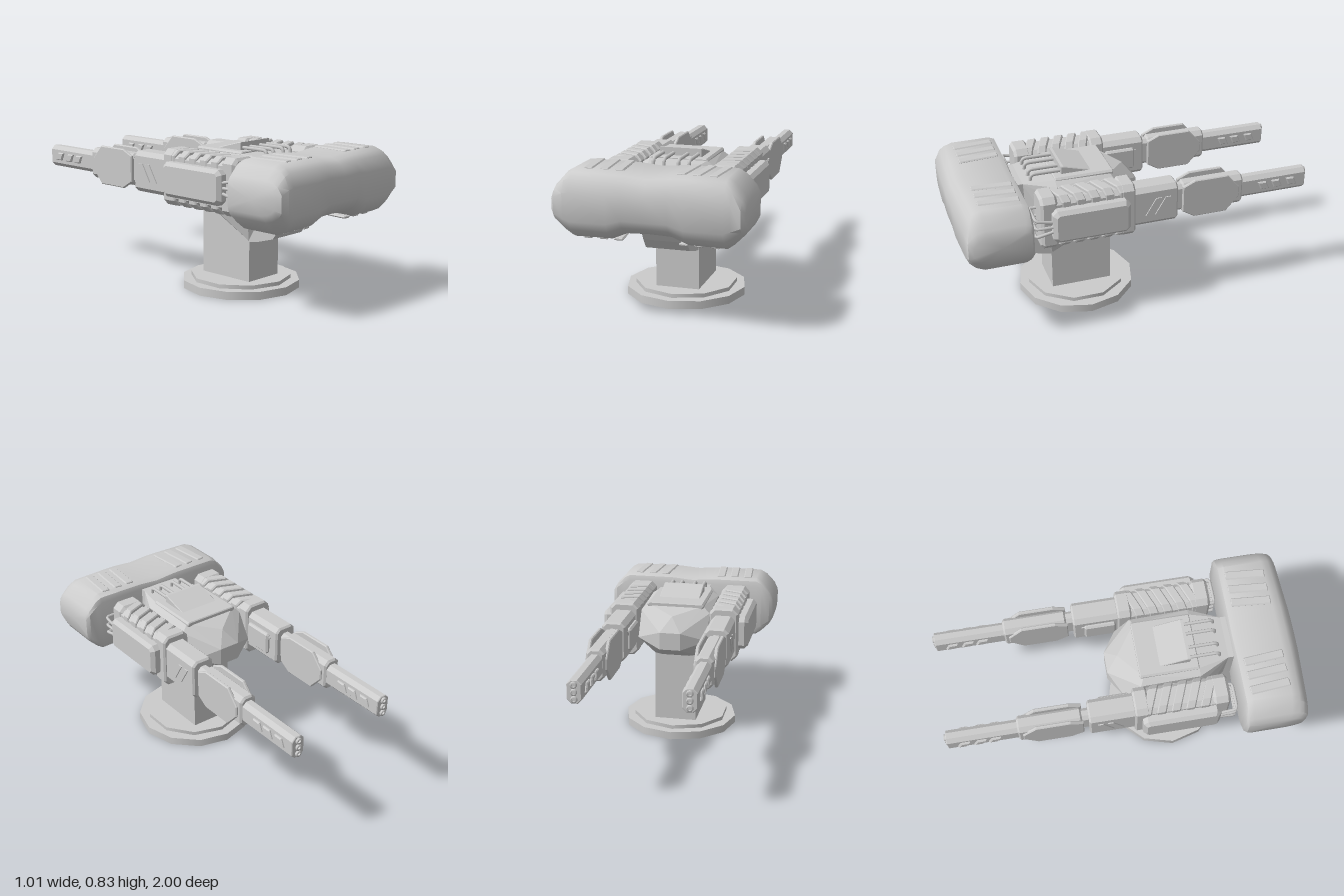
import * as THREE from 'three';
import { toCreasedNormals } from 'three/addons/utils/BufferGeometryUtils.js';
import { ConvexGeometry } from 'three/addons/geometries/ConvexGeometry.js';

const mat = new THREE.MeshStandardMaterial({ color: 0xcccccc });

function add(parent, name, geo, x = 0, y = 0, z = 0) {
  const m = new THREE.Mesh(geo, mat);
  m.name = name;
  m.position.set(x, y, z);
  parent.add(m);
  return m;
}

// Chamfered bar running along z, from z0 to z1, with bevelled ends
function bar(w, h, c, z0, z1, b = 0.01) {
  const x = w / 2, y = h / 2;
  const s = new THREE.Shape([
    [x, c - y], [x, y - c], [x - c, y], [c - x, y], [-x, y - c], [-x, c - y], [c - x, -y], [x - c, -y],
  ].map(p => new THREE.Vector2(...p)));
  const g = new THREE.ExtrudeGeometry(s, {
    depth: z1 - z0 - 2 * b, bevelEnabled: b > 0, bevelThickness: b, bevelSize: b, bevelOffset: -b, bevelSegments: 1,
  });
  return g.translate(0, 0, z0 + b);
}

// Outline given as [z, y], extruded to a width along x and centred
function sidePlate(points, width, b = 0) {
  const s = new THREE.Shape(points.map(p => new THREE.Vector2(...p)));
  const g = new THREE.ExtrudeGeometry(s, {
    depth: width - 2 * b, bevelEnabled: b > 0, bevelThickness: b, bevelSize: b, bevelOffset: -b, bevelSegments: 1,
  });
  return g.translate(0, 0, b - width / 2).rotateY(-Math.PI / 2);
}

function pipe(points, r) {
  const path = new THREE.CurvePath();
  const v = points.map(p => new THREE.Vector3(...p));
  for (let i = 1; i < v.length; i++) path.add(new THREE.LineCurve3(v[i - 1], v[i]));
  return new THREE.TubeGeometry(new THREE.CatmullRomCurve3(v, false, 'catmullrom', 0.15), 20, r, 6);
}

// Rounded block lofted along x; stations are [x, bottom, top, back, front]
function loftBlock(stations) {
  const prof = [[1, .28], [1, .7], [.92, .89], [.84, .96], [.72, 1], [.12, 1], [.03, .96], [0, .88],
    [0, .12], [.03, .04], [.1, 0], [.72, 0], [.85, .06], [.94, .15]];
  const n = prof.length, pos = [], idx = [];
  for (const [x, yb, yt, zb, zf] of stations)
    for (const [u, v] of prof) pos.push(x, yb + v * (yt - yb), zb + u * (zf - zb));
  const last = stations.length - 1;
  for (const k of [0, last]) {
    const [x, yb, yt, zb, zf] = stations[k];
    pos.push(x, (yb + yt) / 2, (zb + zf) / 2);
  }
  for (let j = 0; j < n; j++) {
    const q = (j + 1) % n;
    for (let i = 0; i < last; i++) {
      const a = i * n + j, b = a + n, c = i * n + q, d = c + n;
      idx.push(a, b, c, b, d, c);
    }
    const centre = (last + 1) * n;
    idx.push(centre, j, q, centre + 1, last * n + q, last * n + j);
  }
  const g = new THREE.BufferGeometry();
  g.setAttribute('position', new THREE.Float32BufferAttribute(pos, 3));
  g.setIndex(idx);
  return toCreasedNormals(g, 0.65);
}

function createGun(s) {
  const gun = new THREE.Group();
  gun.name = s > 0 ? 'leftGun' : 'rightGun';
  gun.position.set(s * 0.29, 0.635, 0);

  // Housing: core, end collars and slanted cooling ribs
  add(gun, 'housingCore', bar(0.155, 0.27, 0.025, 0.07, 0.54));
  add(gun, 'housingRearCollar', bar(0.165, 0.31, 0.03, 0.04, 0.12));
  add(gun, 'housingFrontCollar', bar(0.165, 0.31, 0.03, 0.47, 0.565, 0.015));
  for (let i = 0; i < 5; i++) {
    const g = bar(0.163, 0.308, 0.03, -0.026, 0.026, 0.006);
    const p = g.attributes.position;
    for (let k = 0; k < p.count; k++) p.setZ(k, p.getZ(k) - 0.4 * s * p.getX(k));
    g.computeVertexNormals();
    add(gun, 'coolingRib', g, 0, 0, 0.135 + i * 0.08);
  }

  // Outer pod
  const pod = [[.08, -.07], [.105, -.095], [.485, -.095], [.51, -.07], [.51, .07], [.485, .095], [.105, .095], [.08, .07]];
  add(gun, 'sidePod', sidePlate(pod, 0.09, 0.02), s * 0.09, 0, 0);

  // Cables looping from the housing to the pod
  for (const k of [-1, 0, 1])
    add(gun, 'cable', pipe([[-s * .04, k * .05, .55], [-s * .04, k * .05, .6], [s * .095, k * .05, .6],
      [s * .105, k * .045, .585], [s * .105, k * .025, .49]], 0.009));

  // Mount to the hull
  add(gun, 'mount', new THREE.CylinderGeometry(0.08, 0.08, 0.08, 12).rotateZ(Math.PI / 2), -s * 0.09, 0, 0.28);

  // Sleeve with slanted side ridges
  add(gun, 'sleeve', bar(0.135, 0.23, 0.025, -0.21, 0.05));
  add(gun, 'innerPad', bar(0.03, 0.13, 0.01, -0.15, 0.03), -s * 0.072, 0, 0);
  for (const side of [-1, 1]) for (const z of [-0.12, -0.065]) {
    const ridge = [[z - .045, .05], [z - .015, .05], [z + .045, -.05], [z + .015, -.05]].reverse();
    add(gun, 'sleeveRidge', sidePlate(ridge, 0.012), side * 0.068, 0, 0);
  }

  // Neck, barrel shroud and octagonal armour plates
  add(gun, 'neck', bar(0.07, 0.16, 0.02, -0.27, -0.19, 0));
  add(gun, 'shroud', bar(0.1, 0.178, 0.025, -0.6, -0.245));
  const plate = [[-.575, -.03], [-.5, -.113], [-.31, -.113], [-.24, -.07], [-.24, .08], [-.31, .112], [-.5, .112], [-.575, .03]];
  for (const side of [-1, 1])
    add(gun, 'armourPlate', sidePlate(plate, 0.02, 0.005), side * 0.05, 0, 0);

  // Barrel with slanted vents and three bores
  add(gun, 'barrel', bar(0.078, 0.125, 0.022, -0.99, -0.59, 0.004));
  for (const side of [-1, 1]) for (const z of [-0.73, -0.81, -0.9]) {
    const vent = [[z - .035, -.02], [z + .015, -.02], [z + .035, .025], [z - .015, .025]];
    add(gun, 'barrelVent', sidePlate(vent, 0.024, 0.006), side * 0.039, 0, 0);
  }
  const ring = [[.01, -.02], [.018, -.02], [.018, .02], [.01, .02], [.01, -.02]].map(p => new THREE.Vector2(...p));
  for (const y of [-0.038, 0, 0.038])
    add(gun, 'bore', new THREE.LatheGeometry(ring, 10).rotateX(Math.PI / 2), 0, y, -0.98);
  return gun;
}

export function createModel() {
  const model = new THREE.Group();
  model.name = 'turret';

  // Round base and pillar
  const disc = (r, h, n) => new THREE.CylinderGeometry(r, r, h, n);
  add(model, 'baseDisc', disc(0.335, 0.045, 12), 0, 0.0225, 0.285);
  add(model, 'baseStep', disc(0.283, 0.024, 10), 0, 0.055, 0.285);
  add(model, 'pillar', new THREE.BoxGeometry(0.244, 0.44, 0.345), 0, 0.285, 0.2825);

  // Faceted hull
  const half = [[.122, .3, .45], [.122, .48, .11], [.2, .58, .5], [.12, .55, .59], [.2, .7, .46], [.12, .765, .6],
    [.2, .755, .43], [.16, .78, .43], [.16, .775, .12], [.2, .74, .1], [.2, .6, .015], [.06, .56, -.065],
    [.06, .66, -.065], [0, .74, 0]];
  const pts = half.flatMap(([x, y, z]) => [new THREE.Vector3(x, y, z), new THREE.Vector3(-x, y, z)]);
  add(model, 'hull', new ConvexGeometry(pts));
  const neck = [[.44, .29], [.52, .305], [.62, .335], [.66, .39], [.7, .46], [.7, .765], [.44, .765]];
  add(model, 'hullNeck', sidePlate(neck, 0.242));

  // Roof hatch and the pipes leading forward from it
  add(model, 'roofPanel', bar(0.33, 0.03, 0.01, 0.1, 0.43, 0.005), 0, 0.775, 0);
  add(model, 'roofHatch', sidePlate([[.1, .76], [.385, .76], [.385, .833], [.37, .833], [.2, .785]], 0.24, 0.004));
  for (const x of [-0.098, -0.04, 0.04, 0.098])
    add(model, 'roofPipe', pipe([[x, .803, .37], [x, .803, .53], [x, .79, .55], [x, .74, .555]], 0.01));

  // Counterweight block
  const side = [[.12, .49, .808, .63, .997], [.2, .455, .81, .63, .995], [.4, .45, .81, .63, .985],
    [.435, .475, .79, .63, .983], [.485, .525, .735, .632, .978], [.505, .56, .7, .645, .95]];
  const mirrored = side.map(([x, ...r]) => [-x, ...r]).reverse();
  add(model, 'counterweight', loftBlock([...mirrored, [0, .495, .797, .63, 1], ...side]));
  for (const s of [-1, 1]) for (const x of [0.17, 0.25, 0.335]) {
    for (const [y, dx] of [[0.809, 0], [0.452, 0.01]]) {
      const slat = add(model, 'slat', bar(0.05, 0.014, 0.006, -0.11, 0.11, 0.004), s * (x + dx), y, 0.78);
      slat.rotation.y = -s * 0.08;
    }
  }

  for (const s of [-1, 1]) model.add(createGun(s));
  return model;
}
